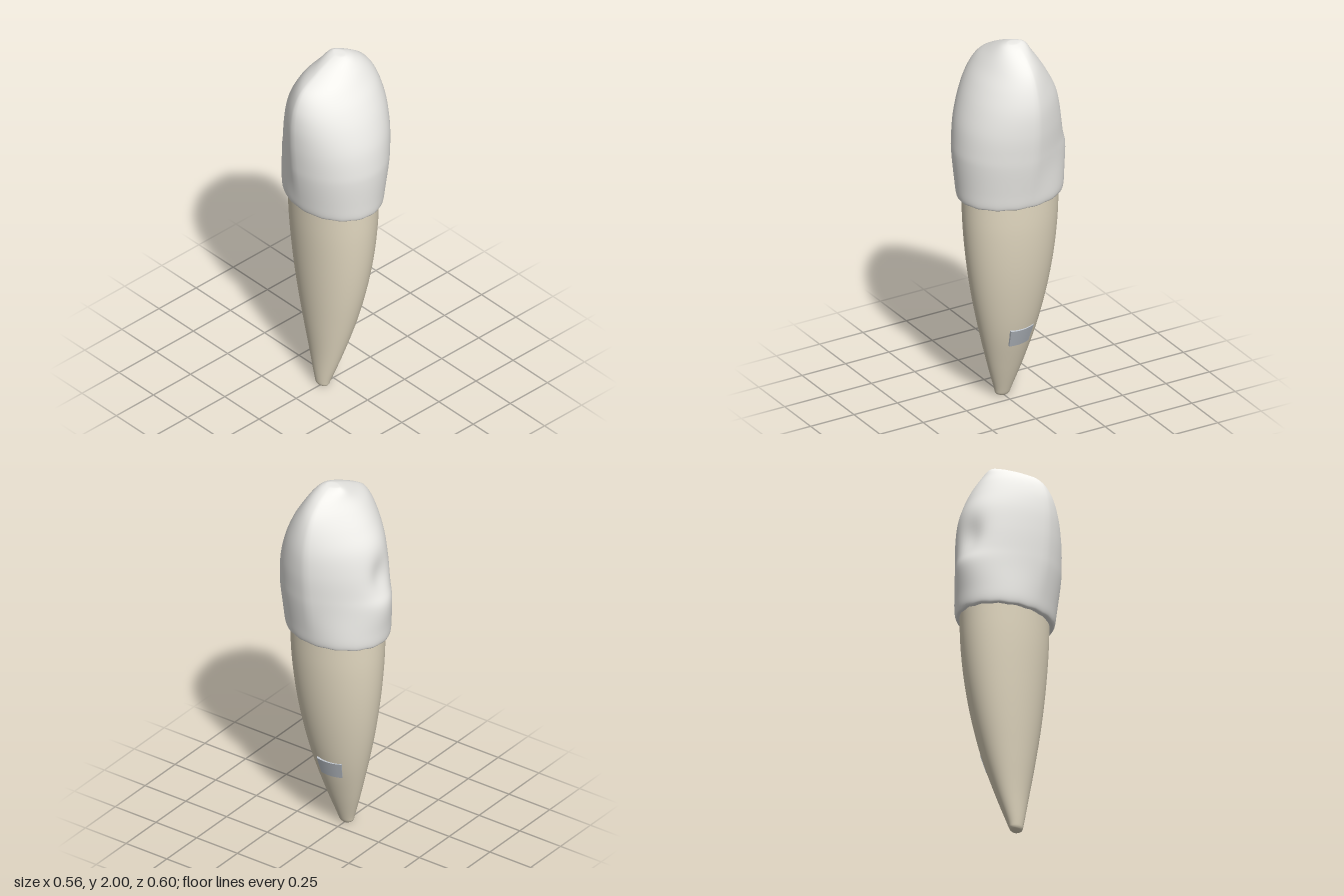
import * as THREE from 'three';

const SEGS = 64;

// Skin horizontal rings. Each row: [y, xMin, xMax, zFront, zBack]
function loft(rows, steps, shape) {
  const curveX = new THREE.CatmullRomCurve3(rows.map(r => new THREE.Vector3(r[0], r[1], r[2])), false, 'catmullrom', 0.5);
  const curveZ = new THREE.CatmullRomCurve3(rows.map(r => new THREE.Vector3(r[0], r[3], r[4])), false, 'catmullrom', 0.5);
  const pos = [], index = [], p = new THREE.Vector3();
  for (let i = 0; i <= steps; i++) {
    const a = curveX.getPoint(i / steps), b = curveZ.getPoint(i / steps);
    const cx = (a.y + a.z) / 2, w = (a.z - a.y) / 2;
    for (let j = 0; j < SEGS; j++) {
      const t = j / SEGS * Math.PI * 2, s = Math.sin(t);
      p.set(Math.cos(t) * w, a.x, s > 0 ? s * b.y : -s * b.z);
      if (shape) shape(p, s, t, i);
      pos.push(p.x + cx, p.y, p.z);
      if (i < steps) {
        const k = i * SEGS, n = (j + 1) % SEGS;
        index.push(k + j, k + SEGS + j, k + n, k + n, k + SEGS + j, k + SEGS + n);
      }
    }
  }
  // Close both ends with fans
  for (const [ring, top] of [[0, false], [steps, true]]) {
    const r = rows[top ? rows.length - 1 : 0], c = pos.length / 3;
    pos.push((r[1] + r[2]) / 2, r[0], (r[3] + r[4]) / 2);
    for (let j = 0; j < SEGS; j++) {
      const u = ring * SEGS + j, v = ring * SEGS + (j + 1) % SEGS;
      index.push(...(top ? [u, c, v] : [u, v, c]));
    }
  }
  const g = new THREE.BufferGeometry();
  g.setAttribute('position', new THREE.Float32BufferAttribute(pos, 3));
  g.setIndex(index);
  g.computeVertexNormals();
  return g;
}

function addMesh(group, name, geometry, color, flatShading = false) {
  const mesh = new THREE.Mesh(geometry, new THREE.MeshStandardMaterial({ color, flatShading }));
  mesh.name = name;
  group.add(mesh);
  return mesh;
}

export function createModel() {
  const group = new THREE.Group();
  group.name = 'tooth';

  // Tapered root, its tip leaning to one side
  addMesh(group, 'root', loft([
    [0.0, -0.085, -0.055, 0.02, -0.02],
    [0.012, -0.1, -0.045, 0.038, -0.038],
    [0.05, -0.107, -0.03, 0.05, -0.05],
    [0.2, -0.12, 0.025, 0.098, -0.098],
    [0.4, -0.143, 0.092, 0.153, -0.153],
    [0.6, -0.164, 0.14, 0.198, -0.198],
    [0.8, -0.181, 0.174, 0.23, -0.23],
    [1.0, -0.194, 0.194, 0.249, -0.249],
    [1.2, -0.2, 0.2, 0.256, -0.256],
  ], 48), 0xe4dac2);

  // Crown: round at the front, pinched at the back
  addMesh(group, 'crown', loft([
    [1.165, -0.19, 0.19, 0.245, -0.245],
    [1.158, -0.212, 0.21, 0.266, -0.264],
    [1.175, -0.226, 0.222, 0.28, -0.278],
    [1.25, -0.24, 0.235, 0.288, -0.286],
    [1.38, -0.262, 0.257, 0.299, -0.3],
    [1.46, -0.271, 0.267, 0.299, -0.288],
    [1.58, -0.28, 0.278, 0.285, -0.27],
    [1.7, -0.28, 0.277, 0.25, -0.24],
    [1.8, -0.262, 0.258, 0.205, -0.19],
    [1.88, -0.215, 0.224, 0.155, -0.14],
    [1.94, -0.12, 0.172, 0.112, -0.095],
    [1.98, -0.04, 0.115, 0.075, -0.068],
    [1.997, 0.005, 0.075, 0.045, -0.045],
    [2.0, 0.025, 0.055, 0.025, -0.025],
  ], 78, (p, s, t, i) => {
    if (s < 0) {
      const pinch = 0.3 * THREE.MathUtils.smoothstep(p.y, 1.16, 1.42);
      p.x *= 1 + pinch * s;
      // Hollow in the back face
      p.z += 0.032 * Math.exp(-((p.x / 0.07) ** 2) - ((p.y - 1.54) / 0.1) ** 2);
    }
    // Slightly uneven lower margin
    if (i > 2 && i < 16) p.y += 0.004 * Math.sin(t * 16) * (1 - i / 16);
  }), 0xf0efeb);

  // Small plate set into the side of the root, narrower at its lower edge
  const plate = new THREE.BoxGeometry(0.03, 0.1, 0.13, 1, 2, 6);
  const v = plate.attributes.position;
  for (let k = 0; k < v.count; k++) {
    const z = v.getZ(k) * (1 + v.getY(k) * 1.6);
    v.setXYZ(k, v.getX(k) - z * z * 2.2, v.getY(k), z);
  }
  plate.computeVertexNormals();
  const mark = addMesh(group, 'sidePlate', plate, 0xbcc2c9);
  mark.position.set(0.076, 0.385, -0.013);
  mark.rotation.set(0, 0.12, -0.33);

  return group;
}
